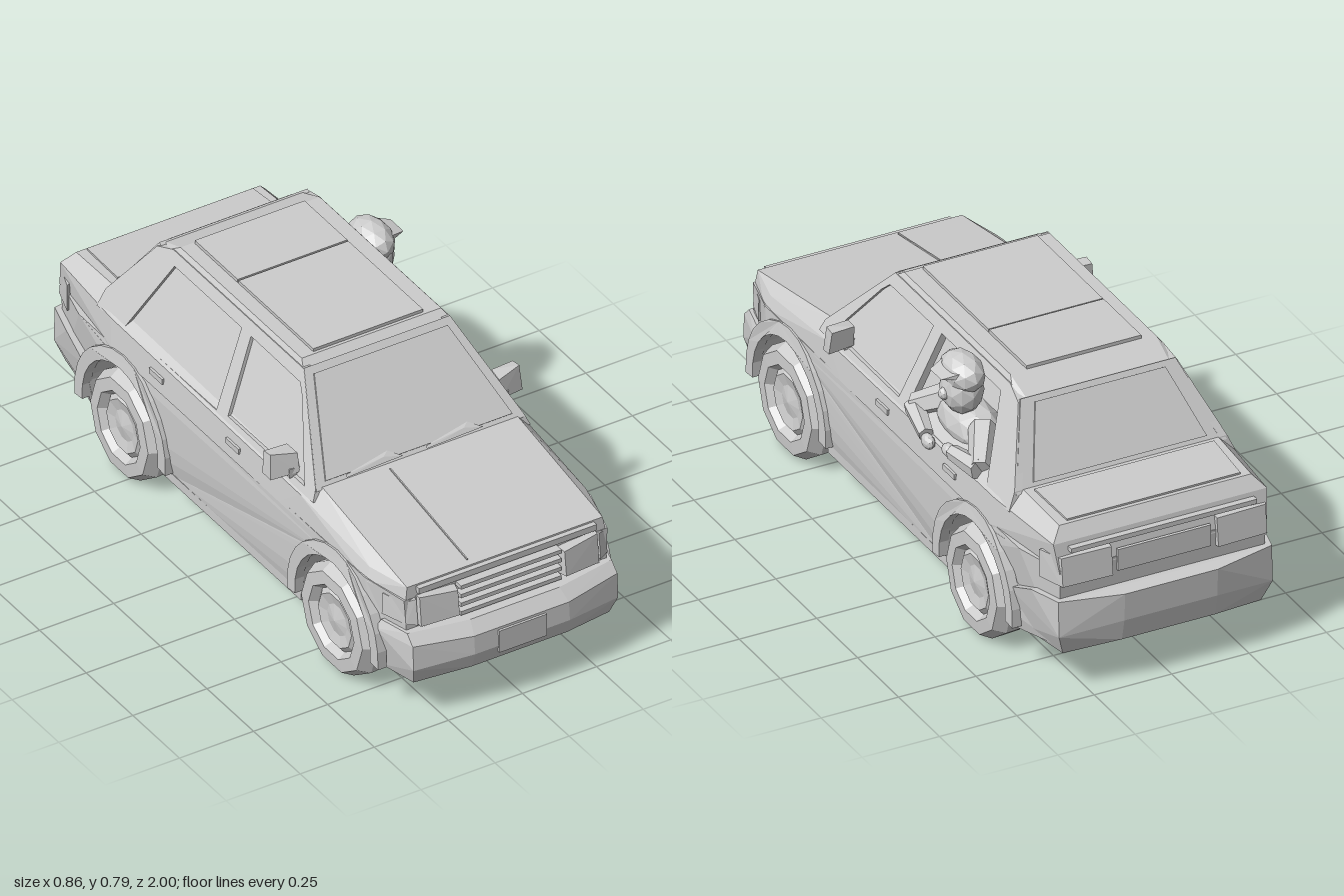
import * as THREE from 'three';
import { ConvexGeometry } from 'three/addons/geometries/ConvexGeometry.js';

const grey = new THREE.MeshStandardMaterial({ color: 0xcccccc, flatShading: true, side: THREE.DoubleSide });
grey.name = 'light grey';

// half width of the cabin side at a given height
const cabinX = (y) => 0.365 - (y - 0.49) * 0.43;

export function createModel() {
  const car = new THREE.Group();
  car.name = 'car';

  const add = (name, geometry, parent = car) => {
    const mesh = new THREE.Mesh(geometry, grey);
    mesh.name = name;
    parent.add(mesh);
    return mesh;
  };
  const vec = (p) => new THREE.Vector3(...p);
  // convex block from corner points, optionally mirrored across x = 0
  const hull = (name, pts, parent) => add(name, new ConvexGeometry(pts.map(vec)), parent);
  const mirrorHull = (name, pts) => hull(name, pts.flatMap(([x, y, z]) => [[x, y, z], [-x, y, z]]));
  const pair = (name, pts) => {
    hull(name + 'Left', pts);
    hull(name + 'Right', pts.map(([x, y, z]) => [-x, y, z]));
  };
  // thin plate from four corners, thickened along its normal
  const plate = (name, c, t = 0.008) => {
    const [a, b, d] = c.map(vec);
    const n = b.sub(a).cross(d.sub(a)).normalize().multiplyScalar(t);
    return hull(name, c.flatMap((p) => [p, vec(p).add(n).toArray()]));
  };
  const box = (name, x, y, z, w, h, d, parent) => {
    const mesh = add(name, new THREE.BoxGeometry(w, h, d), parent);
    mesh.position.set(x, y, z);
    return mesh;
  };
  // side-profile shape given as (z, y), extruded along x
  const outline = (pts, Kind = THREE.Shape) => new Kind(pts.map(([z, y]) => new THREE.Vector2(-z, y)));
  const sideGeometry = (shape, depth, moveX) => {
    const g = new THREE.ExtrudeGeometry(shape, { depth, bevelEnabled: false, curveSegments: 7 });
    g.rotateY(Math.PI / 2);
    const p = g.attributes.position;
    for (let i = 0; i < p.count; i++) p.setX(i, moveX(p.getX(i), p.getY(i), p.getZ(i)));
    g.computeVertexNormals();
    return g;
  };

  // lower body with wheel openings, narrowing toward both ends and the sill
  const lower = new THREE.Shape();
  lower.moveTo(-0.92, 0.15);
  lower.lineTo(-0.82, 0.125);
  for (const a of [-0.61, 0.53]) lower.absarc(a, 0.17, 0.205, Math.PI + 0.23, -0.23, true);
  lower.lineTo(0.93, 0.15);
  lower.lineTo(0.95, 0.41);
  lower.lineTo(0.78, 0.41);
  lower.lineTo(-0.76, 0.41);
  lower.lineTo(-0.91, 0.40);
  add('lowerBody', sideGeometry(lower, 1, (x, y, z) =>
    (2 * x - 1) * (0.382 - Math.max(0, Math.abs(z) - 0.76) * 0.26 - Math.max(0, 0.2 - y) * 0.2)));
  box('underbody', 0, 0.26, 0, 0.48, 0.29, 1.8);
  box('sill', 0, 0.125, 0.03, 0.74, 0.03, 0.74);

  // hood, shoulders and boot
  mirrorHull('upperBody', [
    [0.38, 0.40, 0.77], [0.338, 0.39, 0.91], [0.33, 0.44, 0.905], [0.365, 0.44, 0.76], [0.33, 0.52, 0.45],
    [0.372, 0.48, 0.40], [0.382, 0.40, 0.3], [0.382, 0.40, -0.6], [0.37, 0.49, -0.62],
    [0.315, 0.54, -0.70], [0.31, 0.53, -0.90], [0.345, 0.49, -0.93], [0.335, 0.40, -0.95]]);
  plate('bootLid', [[-0.29, 0.541, -0.71], [0.29, 0.541, -0.71], [0.28, 0.532, -0.89], [-0.28, 0.532, -0.89]], 0.006);
  box('hoodSeam', -0.115, 0.483, 0.68, 0.004, 0.004, 0.42).rotation.x = 0.17;

  // bumpers
  mirrorHull('frontBumper', [
    [0.33, 0.13, 0.94], [0.36, 0.13, 0.81], [0.385, 0.27, 0.82], [0.37, 0.30, 0.83], [0.345, 0.30, 0.93],
    [0.345, 0.19, 0.965], [0.345, 0.27, 0.96], [0.16, 0.15, 0.985], [0.16, 0.20, 1.0], [0.16, 0.26, 0.995], [0.15, 0.295, 0.96]]);
  mirrorHull('rearBumper', [
    [0.32, 0.13, -0.94], [0.36, 0.135, -0.73], [0.385, 0.26, -0.73], [0.375, 0.31, -0.85], [0.345, 0.315, -0.96],
    [0.345, 0.20, -0.965], [0.15, 0.15, -0.98], [0.15, 0.22, -0.995], [0.15, 0.31, -1.0]]);
  box('frontPlate', 0, 0.215, 0.999, 0.16, 0.075, 0.008);

  // grille, lamps and rear panel
  for (let i = 0; i < 4; i++) box('grilleSlat', 0, 0.31 + i * 0.03, 0.925, 0.34, 0.013, 0.03);
  box('hoodLip', 0, 0.425, 0.912, 0.6, 0.02, 0.02);
  pair('headlamp', [
    [0.17, 0.31, 0.9], [0.17, 0.40, 0.9], [0.18, 0.315, 0.95], [0.18, 0.395, 0.94],
    [0.30, 0.31, 0.935], [0.30, 0.405, 0.925], [0.305, 0.31, 0.88], [0.305, 0.405, 0.88]]);
  pair('cornerLamp', [
    [0.308, 0.315, 0.93], [0.308, 0.40, 0.92], [0.34, 0.32, 0.915], [0.34, 0.39, 0.905],
    [0.368, 0.32, 0.83], [0.366, 0.39, 0.83], [0.308, 0.32, 0.83], [0.308, 0.40, 0.83]]);
  pair('tailLamp', [
    [0.17, 0.355, -0.93], [0.17, 0.455, -0.93], [0.17, 0.36, -0.965], [0.17, 0.45, -0.955],
    [0.33, 0.36, -0.96], [0.33, 0.45, -0.95], [0.36, 0.36, -0.87], [0.36, 0.45, -0.87]]);
  box('rearTrim', 0, 0.47, -0.945, 0.6, 0.015, 0.02);
  box('rearPanel', 0, 0.40, -0.952, 0.3, 0.07, 0.01);

  // cabin sides with window openings; the rear opening on +x has no glass
  const frontWindow = [[0.40, 0.505], [0.255, 0.70], [0.225, 0.728], [-0.04, 0.73], [-0.01, 0.505]];
  const rearWindow = [[-0.065, 0.495], [-0.09, 0.73], [-0.45, 0.73], [-0.555, 0.495]];
  for (const s of [1, -1]) {
    const side = new THREE.Group();
    side.name = s > 0 ? 'cabinSideLeft' : 'cabinSideRight';
    side.scale.x = s;
    car.add(side);
    const frame = outline([[0.46, 0.485], [0.45, 0.52], [0.22, 0.765], [-0.48, 0.765], [-0.55, 0.74], [-0.69, 0.54], [-0.70, 0.485]]);
    frame.holes.push(outline(frontWindow, THREE.Path), outline(rearWindow, THREE.Path));
    add('windowFrame', sideGeometry(frame, 0.025, (x, y) => cabinX(y) - x), side);
    const panes = s > 0 ? [frontWindow] : [frontWindow, rearWindow];
    for (const w of panes) add('sideGlass', sideGeometry(outline(w), 0.005, (x, y) => cabinX(y) - 0.012 - x), side);

    // arch lips and wheels
    for (const [z, wide] of [[0.61, 1.06], [-0.53, 1]]) {
      const lip = new THREE.Shape();
      lip.absarc(-z, 0.17, 0.245, -0.1, Math.PI + 0.1, false);
      lip.absarc(-z, 0.17, 0.203, Math.PI + 0.1, -0.1, true);
      add('archLip', sideGeometry(lip, 0.03, (x, y) => 0.366 + x - Math.max(0, y - 0.36) * 0.2), side);
      const profile = [[0, 0], [0.13, 0], [0.172, 0.03], [0.176, 0.11], [0.155, 0.148], [0.115, 0.15],
        [0.1, 0.125], [0.085, 0.138], [0.05, 0.13], [0, 0.14]].map(([r, h]) => new THREE.Vector2(r, h));
      const wheel = add('wheel', new THREE.LatheGeometry(profile, 10).rotateZ(-Math.PI / 2), side);
      wheel.position.set(0.25, 0.171, z);
      wheel.scale.z = wide;
    }
    // door mirror and handles
    const mirror = new THREE.Group();
    mirror.name = 'doorMirror';
    side.add(mirror);
    hull('mirrorShell', [[0.34, 0.515, 0.345], [0.34, 0.575, 0.335], [0.425, 0.505, 0.325], [0.42, 0.585, 0.315],
      [0.345, 0.515, 0.29], [0.345, 0.58, 0.285], [0.428, 0.51, 0.285], [0.42, 0.58, 0.28]], mirror);
    box('mirrorStalk', 0.345, 0.515, 0.32, 0.05, 0.03, 0.04, mirror);
    box('doorHandle', 0.377, 0.445, 0.05, 0.012, 0.018, 0.07, side);
    box('doorHandle', 0.377, 0.445, -0.36, 0.012, 0.018, 0.07, side);
  }

  // roof, windscreen and rear screen
  mirrorHull('roof', [[0.25, 0.755, 0.225], [0.25, 0.755, -0.50], [0.235, 0.78, 0.19], [0.235, 0.78, -0.46], [0.23, 0.745, -0.55]]);
  box('roofPanel', -0.005, 0.784, -0.02, 0.37, 0.012, 0.40);
  box('sunroof', -0.005, 0.785, -0.34, 0.37, 0.012, 0.23);
  plate('windscreenFrame', [[-0.352, 0.515, 0.455], [0.352, 0.515, 0.455], [0.246, 0.767, 0.22], [-0.246, 0.767, 0.22]], -0.015);
  plate('windscreen', [[-0.315, 0.53, 0.442], [0.315, 0.53, 0.442], [0.225, 0.75, 0.237], [-0.225, 0.75, 0.237]], 0.006);
  plate('rearScreenFrame', [[0.34, 0.53, -0.695], [-0.34, 0.53, -0.695], [-0.25, 0.75, -0.55], [0.25, 0.75, -0.55]], -0.015);
  plate('rearScreen', [[0.28, 0.55, -0.682], [-0.28, 0.55, -0.682], [-0.21, 0.735, -0.56], [0.21, 0.735, -0.56]], 0.006);

  // wipers
  for (const x of [-0.25, 0.02]) {
    hull('wiper', [[x, 0.527, 0.456], [x, 0.533, 0.45], [x + 0.19, 0.533, 0.456], [x + 0.15, 0.552, 0.433], [x + 0.13, 0.545, 0.446]]);
  }

  // passenger leaning out of the open window
  const passenger = new THREE.Group();
  passenger.name = 'passenger';
  car.add(passenger);
  const ball = (name, x, y, z, sx, sy, sz) => {
    const mesh = add(name, new THREE.IcosahedronGeometry(1, 1), passenger);
    mesh.position.set(x, y, z);
    mesh.scale.set(sx, sy, sz);
  };
  const limb = (name, from, to, r0, r1) => {
    const a = vec(from), d = vec(to).sub(a);
    const mesh = add(name, new THREE.CylinderGeometry(r1, r0, d.length(), 6), passenger);
    mesh.position.copy(a).addScaledVector(d, 0.5);
    mesh.quaternion.setFromUnitVectors(new THREE.Vector3(0, 1, 0), d.normalize());
  };
  ball('torso', 0.27, 0.54, -0.28, 0.075, 0.08, 0.16);
  ball('head', 0.30, 0.665, -0.285, 0.062, 0.08, 0.075);
  ball('cap', 0.298, 0.72, -0.285, 0.06, 0.058, 0.09);
  ball('nose', 0.355, 0.66, -0.285, 0.02, 0.02, 0.018);
  hull('capBrim', [[0.33, 0.745, -0.23], [0.33, 0.745, -0.34], [0.385, 0.73, -0.25], [0.385, 0.73, -0.32],
    [0.33, 0.725, -0.23], [0.33, 0.725, -0.34], [0.375, 0.718, -0.285]], passenger);
  limb('upperArm', [0.28, 0.575, -0.18], [0.355, 0.525, -0.10], 0.045, 0.035);
  limb('forearm', [0.355, 0.525, -0.10], [0.38, 0.495, -0.22], 0.034, 0.024);
  limb('upperArm', [0.28, 0.575, -0.38], [0.355, 0.52, -0.50], 0.045, 0.035);
  limb('forearm', [0.355, 0.52, -0.50], [0.375, 0.515, -0.37], 0.034, 0.024);
  ball('hand', 0.385, 0.485, -0.24, 0.018, 0.024, 0.03);
  ball('hand', 0.375, 0.51, -0.35, 0.02, 0.02, 0.03);

  return car;
}
